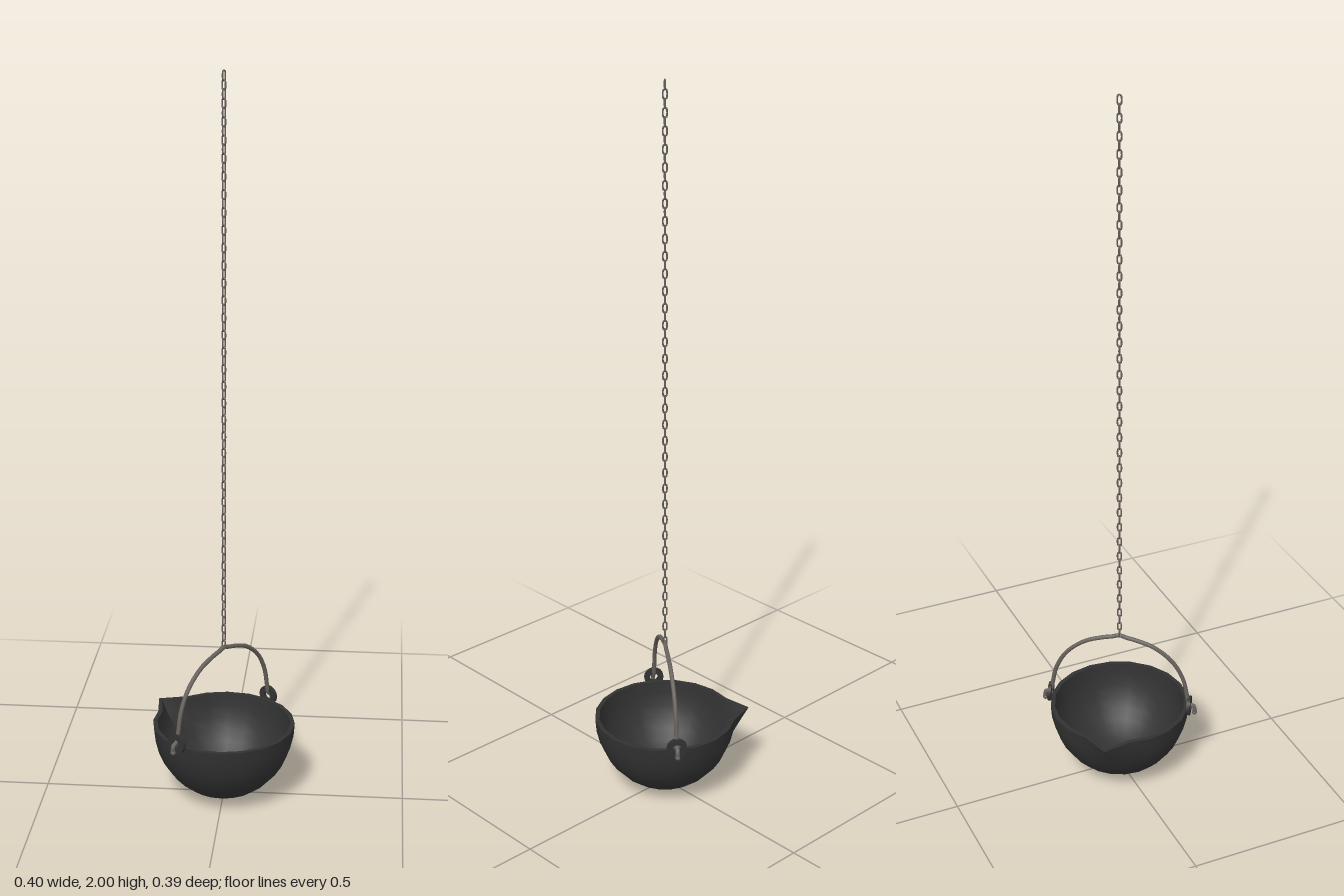
import * as THREE from 'three';
import { toCreasedNormals } from 'three/addons/utils/BufferGeometryUtils.js';

const iron = new THREE.MeshStandardMaterial({ name: 'dark cast iron', color: 0x323232 });
const steel = new THREE.MeshStandardMaterial({ name: 'worn steel', color: 0x67625c });

const RIM = 0.214;

function add(parent, name, geometry, material) {
  const mesh = new THREE.Mesh(geometry, material);
  mesh.name = name;
  parent.add(mesh);
  return mesh;
}

// Hollow half-round bowl; one column of the rim is pulled out into a pouring lip
function bowlGeometry() {
  const profile = [];
  const arc = (radius, depth, from, to) => {
    for (let i = 0; i <= 9; i++) {
      const a = (Math.PI / 2) * (from + ((to - from) * i) / 9);
      profile.push(new THREE.Vector2(Math.max(radius * Math.sin(a), 0.0005), RIM - depth * Math.cos(a)));
    }
  };
  arc(0.197, RIM, 0, 1);
  arc(0.185, RIM - 0.012, 1, 0);
  const geometry = new THREE.LatheGeometry(profile, 20);
  const p = geometry.attributes.position;
  for (let i = 0; i < p.count; i++) {
    const x = p.getX(i);
    const y = p.getY(i);
    if (x > 0.1 && Math.abs(p.getZ(i)) < 0.01 && y > 0.13) {
      p.setX(i, x + (0.043 * (y - 0.13)) / (RIM - 0.13));
    }
  }
  return toCreasedNormals(geometry, 0.6);
}

// Round plate with a hole for the handle
function earGeometry() {
  const shape = new THREE.Shape();
  shape.absarc(0, 0, 0.028, 0, Math.PI * 2);
  const hole = new THREE.Path();
  hole.absarc(0, 0, 0.012, 0, Math.PI * 2, true);
  shape.holes.push(hole);
  const geometry = new THREE.ExtrudeGeometry(shape, { depth: 0.01, bevelEnabled: false, curveSegments: 8 });
  return toCreasedNormals(geometry, 0.9);
}

// Arched handle with a raised middle and hooked ends
function handleGeometry() {
  const half = [
    [0.216, 0.204], [0.215, 0.222], [0.2, 0.23], [0.194, 0.255], [0.182, 0.31],
    [0.152, 0.365], [0.1, 0.408], [0.045, 0.428], [0.018, 0.434],
  ];
  const points = half.map(([r, y]) => new THREE.Vector3(0, y, r));
  points.push(new THREE.Vector3(0, 0.44, 0));
  for (const [r, y] of half.slice().reverse()) points.push(new THREE.Vector3(0, y, -r));
  return new THREE.TubeGeometry(new THREE.CatmullRomCurve3(points), 72, 0.006, 8, false);
}

// Oval chain link standing upright in the xy plane
function linkGeometry(length, width, wire) {
  const r = width / 2 - wire;
  const straight = length / 2 - wire - r;
  const points = [];
  for (const side of [1, -1]) {
    for (let i = 0; i <= 4; i++) {
      const a = (Math.PI * i) / 4;
      points.push(new THREE.Vector3(side * r * Math.cos(a), side * (straight + r * Math.sin(a)), 0));
    }
  }
  return new THREE.TubeGeometry(new THREE.CatmullRomCurve3(points, true), 20, wire, 5, true);
}

export function createModel() {
  const model = new THREE.Group();
  model.name = 'hangingPot';

  add(model, 'bowl', bowlGeometry(), iron);
  add(model, 'handle', handleGeometry(), steel);

  // Ears on opposite sides of the rim, with the hooked handle ends capped
  const ear = earGeometry();
  const cap = new THREE.SphereGeometry(0.0075, 8, 6);
  for (const side of [1, -1]) {
    const plate = add(model, side > 0 ? 'earBack' : 'earFront', ear, iron);
    plate.position.set(0, 0.224, side * 0.2 - 0.005);
    const end = add(model, side > 0 ? 'hookEndBack' : 'hookEndFront', cap, steel);
    end.position.set(0, 0.203, side * 0.216);
  }

  // Chain of links, each turned a quarter from the one below
  const chain = new THREE.Group();
  chain.name = 'chain';
  model.add(chain);
  const length = 0.03;
  const count = 68;
  const bottom = 0.432 + length / 2;
  const top = 2 - length / 2;
  const link = linkGeometry(length, 0.0145, 0.0023);
  for (let i = 0; i < count; i++) {
    const mesh = add(chain, 'chainLink', link, steel);
    mesh.position.y = bottom + ((top - bottom) * i) / (count - 1);
    mesh.rotation.y = (i % 2) * (Math.PI / 2);
  }

  // Turn the lip towards the back right corner
  model.rotation.y = 2.543;
  const root = new THREE.Group();
  root.name = 'potOnChain';
  root.add(model);
  return root;
}
